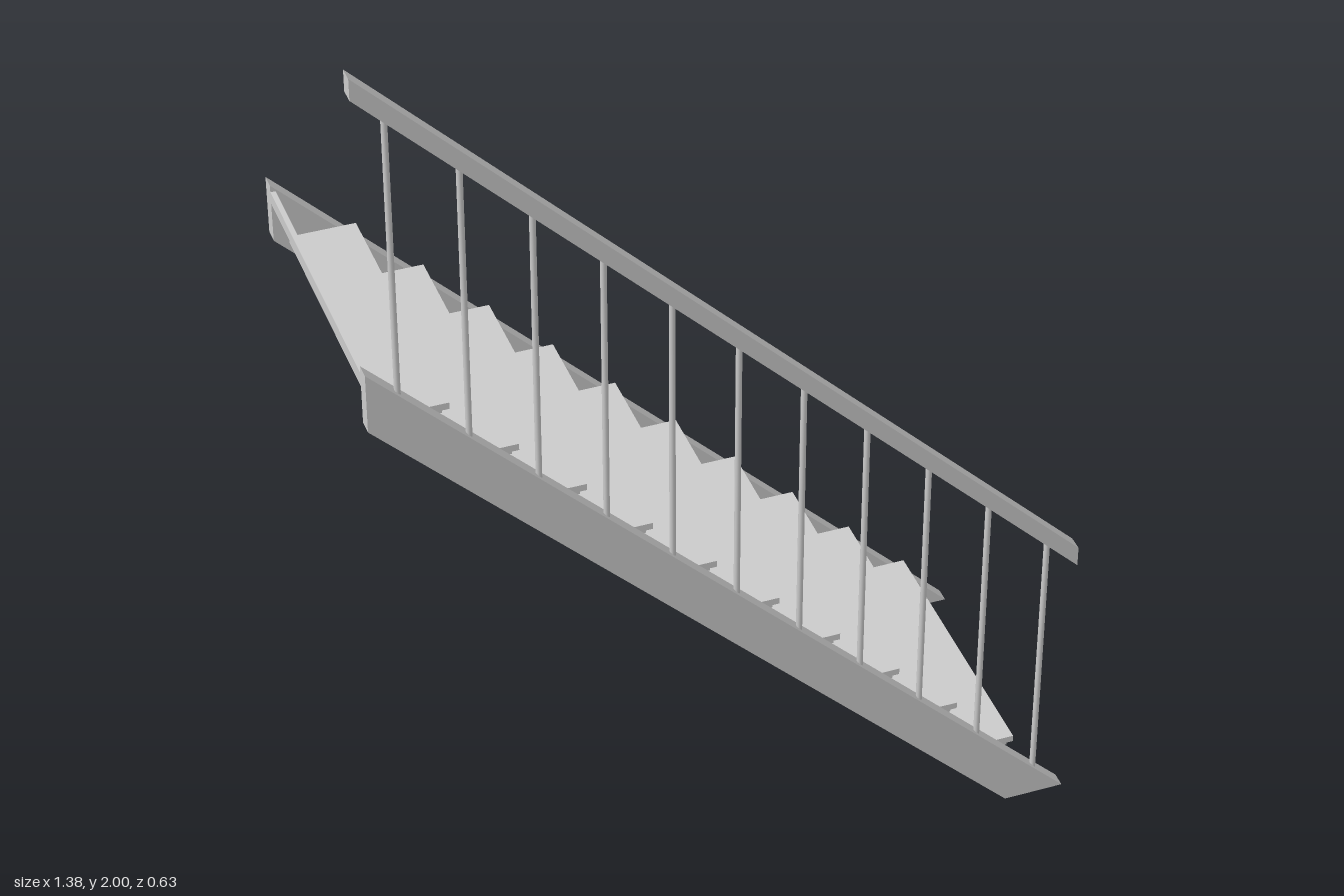
import * as THREE from 'three';

const metal = new THREE.MeshStandardMaterial({ color: 0xcccccc });

const TOP_X = -0.69, FOOT_X = 0.69;
const SIDE_Z = 0.3, BEAM_W = 0.03;
const STEPS = 10, GOING = 0.125, RISE = 0.126;
const SLOPE = -1.39 / 1.38;

// height of the upper edge of the stringers at x
const stringerTop = (x) => SLOPE * (x - FOOT_X);

function add(parent, name, geometry, x = 0, y = 0, z = 0) {
  const mesh = new THREE.Mesh(geometry, metal);
  mesh.name = name;
  mesh.position.set(x, y, z);
  parent.add(mesh);
  return mesh;
}

// side profile extruded to the beam width, centred on z = 0
function beam(points) {
  const shape = new THREE.Shape(points.map(([x, y]) => new THREE.Vector2(x, y)));
  return new THREE.ExtrudeGeometry(shape, { depth: BEAM_W, bevelEnabled: false })
    .translate(0, 0, -BEAM_W / 2);
}

export function createModel() {
  const stairs = new THREE.Group();
  stairs.name = 'staircase';

  // stringers, cut level at the floor and plumb at the top
  const stringer = beam([[TOP_X, 1.39], [TOP_X, 1.267], [0.568, 0], [FOOT_X, 0]]);
  add(stairs, 'leftStringer', stringer, 0, 0, SIDE_Z);
  add(stairs, 'rightStringer', stringer, 0, 0, -SIDE_Z);

  // treads, each on a small bracket at both ends
  const innerZ = SIDE_Z - BEAM_W / 2;
  const treadGeometry = new THREE.BoxGeometry(0.127, 0.014, innerZ * 2);
  const bracketGeometry = new THREE.BoxGeometry(0.1, 0.005, 0.036);
  for (let i = 0; i < STEPS; i++) {
    const step = new THREE.Group();
    step.name = 'step';
    step.position.set(0.528 - i * GOING, 0.128 + i * RISE, 0);
    add(step, 'tread', treadGeometry);
    for (const side of [1, -1]) {
      add(step, 'treadBracket', bracketGeometry, 0, -0.0095, side * (innerZ - 0.018));
    }
    stairs.add(step);
  }

  // cross bar joining the stringers at the top
  add(stairs, 'topCrossBar', new THREE.BoxGeometry(0.01, 0.025, innerZ * 2), TOP_X + 0.005, 1.363, 0);

  // handrail on one side
  add(stairs, 'handrail', beam([[TOP_X, 2], [TOP_X, 1.957], [FOOT_X, 0.57], [FOOT_X, 0.613]]), 0, 0, SIDE_Z);

  // balusters from stringer to handrail
  const low = -0.02, high = 0.59;
  const balusterGeometry = new THREE.CylinderGeometry(0.006, 0.006, high - low, 12);
  for (let i = 0; i <= 10; i++) {
    const x = -0.63 + i * 0.126;
    add(stairs, 'baluster', balusterGeometry, x, stringerTop(x) + (low + high) / 2, SIDE_Z);
  }

  return stairs;
}
